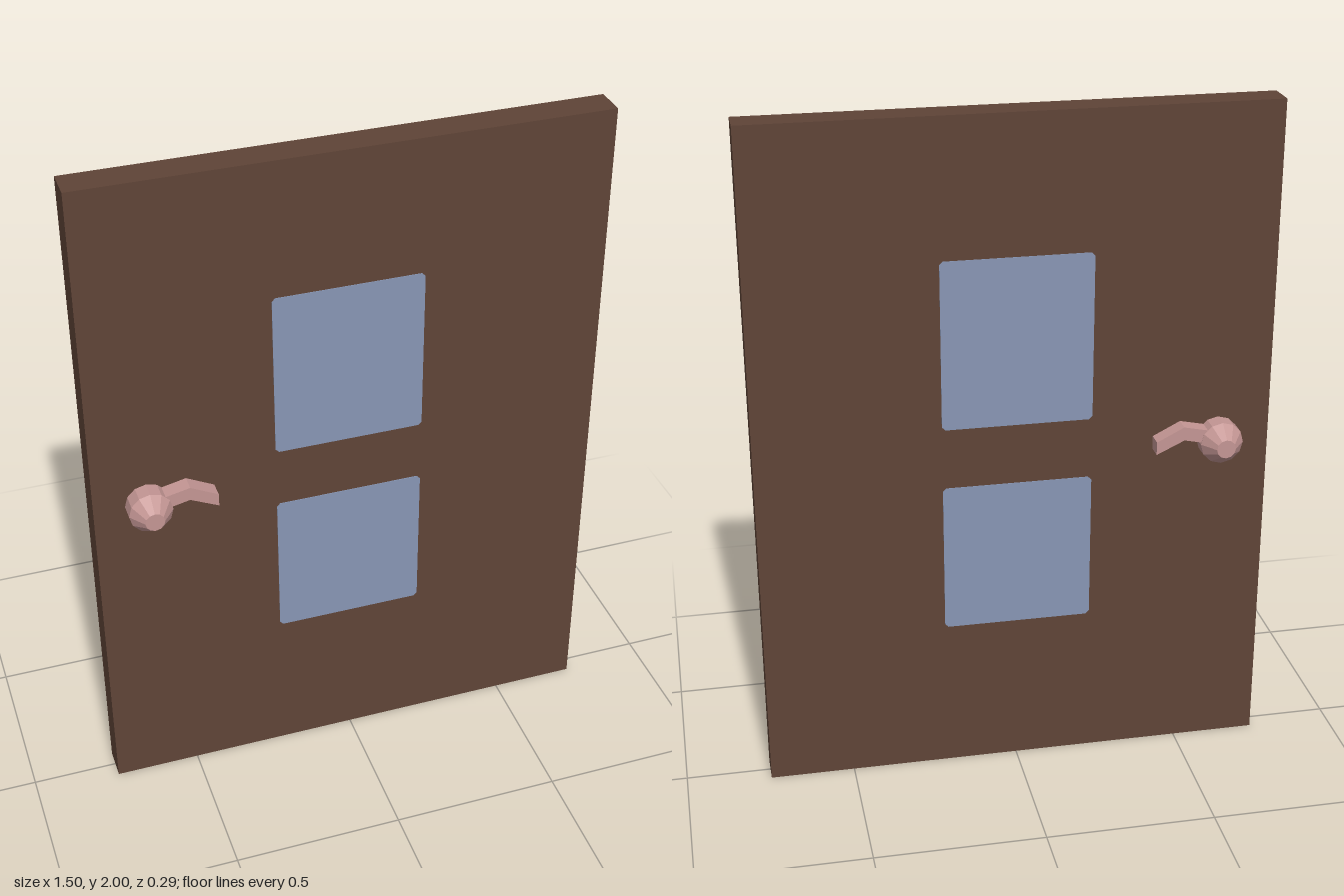
import * as THREE from 'three';

const wood = new THREE.MeshStandardMaterial({ color: 0x5f4437, name: 'brown wood' });
const glass = new THREE.MeshStandardMaterial({ color: 0x8896b4, name: 'blue pane' });
const metal = new THREE.MeshStandardMaterial({ color: 0xc49694, name: 'pink metal', flatShading: true });

const HALF = 0.047; // half the door thickness

function polygon(points) {
  return new THREE.Shape(points.map(([x, y]) => new THREE.Vector2(x, y)));
}

function add(parent, name, geometry, material) {
  const mesh = new THREE.Mesh(geometry, material);
  mesh.name = name;
  parent.add(mesh);
  return mesh;
}

// Rectangle with tiny clipped corners
function paneShape(x0, x1, y0, y1, c = 0.01) {
  return polygon([
    [x0 + c, y0], [x1 - c, y0], [x1, y0 + c], [x1, y1 - c],
    [x1 - c, y1], [x0 + c, y1], [x0, y1 - c], [x0, y0 + c],
  ]);
}

// Faceted knob with a tapered nose, plus a bent lever, facing +z (+1) or -z (-1)
function makeHandle(side) {
  const handle = new THREE.Group();
  handle.name = side > 0 ? 'frontHandle' : 'backHandle';

  const profile = [[0, 0], [0.063, 0], [0.063, 0.05], [0.028, 0.096], [0, 0.096]]
    .map(([r, h]) => new THREE.Vector2(r, h));
  const knob = add(handle, 'knob', new THREE.LatheGeometry(profile, 12), metal);
  knob.rotation.x = side * Math.PI / 2;
  knob.position.set(-0.597, 1.01, side * HALF);

  const leverShape = polygon([
    [-0.59, 1.01], [-0.54, 1.015], [-0.485, 1.027], [-0.403, 0.988],
    [-0.403, 1.027], [-0.483, 1.068], [-0.59, 1.045],
  ]);
  const lever = add(handle, 'lever',
    new THREE.ExtrudeGeometry(leverShape, { depth: 0.048, bevelEnabled: false }), metal);
  lever.position.z = side > 0 ? HALF : -HALF - 0.048;
  return handle;
}

export function createModel() {
  const door = new THREE.Group();
  door.name = 'door';

  add(door, 'doorSlab', new THREE.BoxGeometry(1.5, 2, 2 * HALF), wood).position.y = 1;

  // Panes on both faces
  const panes = { upperPane: [1.097, 1.597], lowerPane: [0.462, 0.915] };
  for (const [name, [y0, y1]] of Object.entries(panes)) {
    const shape = paneShape(-0.222, 0.214, y0, y1);
    for (const side of [1, -1]) {
      const geometry = new THREE.ExtrudeGeometry(shape, { depth: 0.003, bevelEnabled: false });
      const pane = add(door, name + (side > 0 ? 'Front' : 'Back'), geometry, glass);
      pane.position.z = side > 0 ? HALF - 0.001 : -HALF - 0.002;
    }
  }

  for (const side of [1, -1]) door.add(makeHandle(side));
  return door;
}
